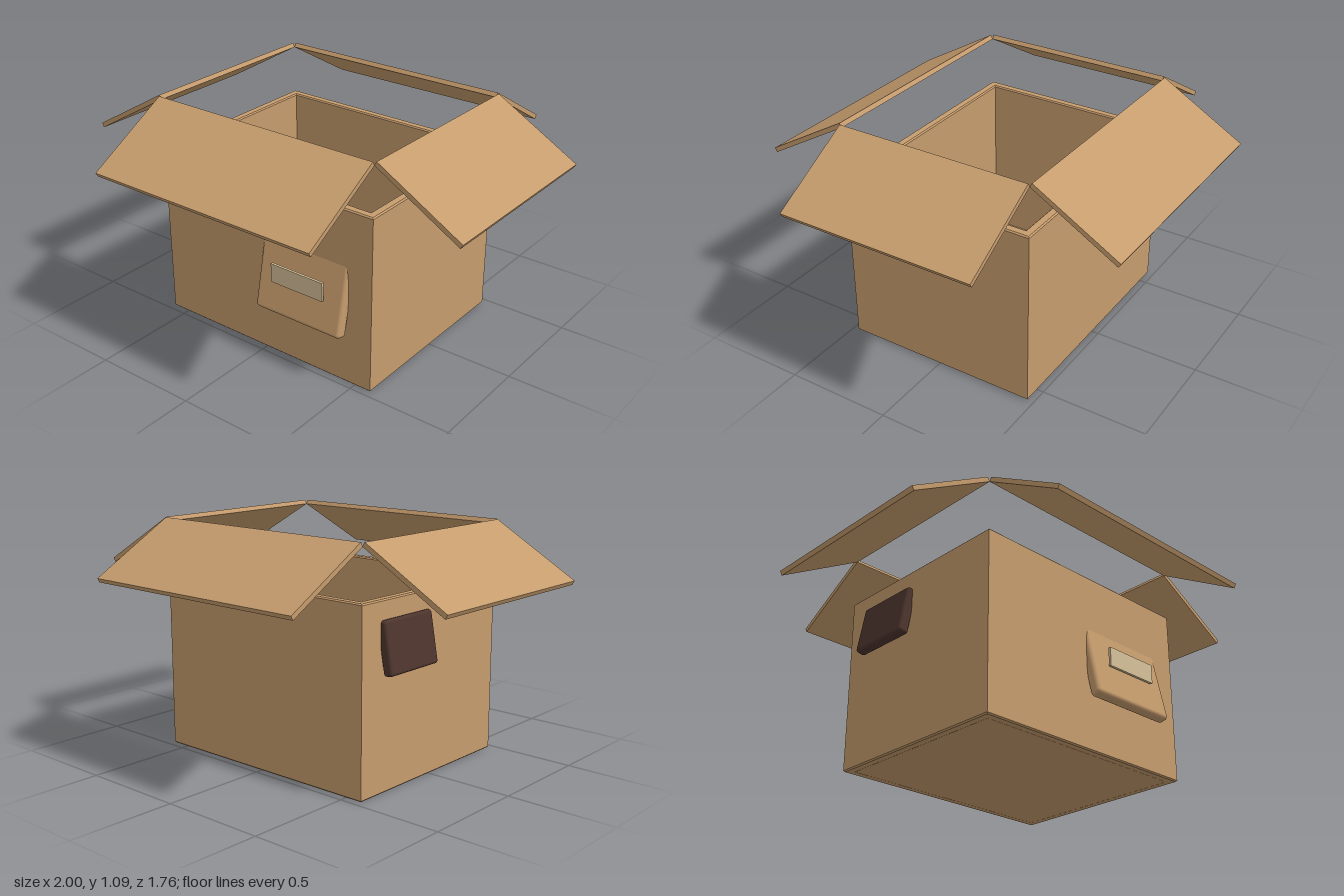
import * as THREE from 'three';
import { RoundedBoxGeometry } from 'three/addons/geometries/RoundedBoxGeometry.js';

const card = new THREE.MeshStandardMaterial({ color: 0xc69c6d });
const dark = new THREE.MeshStandardMaterial({ color: 0x4e352e });
const paper = new THREE.MeshStandardMaterial({ color: 0xd7c199 });

const W = 1.17, D = 0.94, H = 0.84, WALL = 0.042;

function part(name, geometry, material, x, y, z) {
  const mesh = new THREE.Mesh(geometry, material);
  mesh.name = name;
  mesh.position.set(x, y, z);
  return mesh;
}

function rectangle(Type, w, d) {
  const p = new Type();
  p.moveTo(-w / 2, -d / 2);
  p.lineTo(w / 2, -d / 2);
  p.lineTo(w / 2, d / 2);
  p.lineTo(-w / 2, d / 2);
  p.closePath();
  return p;
}

export function createModel() {
  const model = new THREE.Group();
  model.name = 'openBox';

  // Four walls as one extruded ring with slightly softened edges
  const b = 0.006;
  const ring = rectangle(THREE.Shape, W, D);
  ring.holes.push(rectangle(THREE.Path, W - 2 * WALL, D - 2 * WALL));
  const walls = new THREE.ExtrudeGeometry(ring, {
    depth: H - 2 * b, bevelThickness: b, bevelSize: b, bevelOffset: -b, bevelSegments: 1,
  });
  walls.rotateX(-Math.PI / 2);
  model.add(part('walls', walls, card, 0, b, 0));

  // Floor
  const floor = new THREE.BoxGeometry(W - 2 * WALL + 0.01, 0.04, D - 2 * WALL + 0.01);
  model.add(part('floor', floor, card, 0, 0.02, 0));

  // Four flaps raised above the rim, sloping outwards
  const t = 0.022;
  const flaps = [
    ['leftFlap', 0, W / 2, 0.468, D],
    ['backFlap', Math.PI / 2, D / 2, 0.462, W],
    ['rightFlap', Math.PI, W / 2, 0.468, D],
    ['frontFlap', -Math.PI / 2, D / 2, 0.462, W],
  ];
  for (const [name, turn, reach, length, width] of flaps) {
    const geometry = new THREE.BoxGeometry(length, t, width);
    geometry.translate(length / 2, -t / 2, 0);
    const flap = part('flapPanel', geometry, card, reach + 0.01, 1.09, 0);
    flap.rotation.z = -Math.PI / 6;
    const group = new THREE.Group();
    group.name = name;
    group.rotation.y = turn;
    group.add(flap);
    model.add(group);
  }

  // Tilted pouch on the front with an upright label
  const pouch = part('pouch', new RoundedBoxGeometry(0.465, 0.345, 0.055, 3, 0.018), card, 0.232, 0.414, 0.476);
  pouch.rotation.x = -0.21;
  model.add(pouch);
  model.add(part('label', new THREE.BoxGeometry(0.28, 0.09, 0.012), paper, 0.23, 0.447, 0.524));

  // Dark tilted patch on the right side
  const patch = part('sidePatch', new RoundedBoxGeometry(0.05, 0.235, 0.32, 3, 0.014), dark, -0.603, 0.637, -0.19);
  patch.rotation.z = -0.18;
  model.add(patch);

  return model;
}
